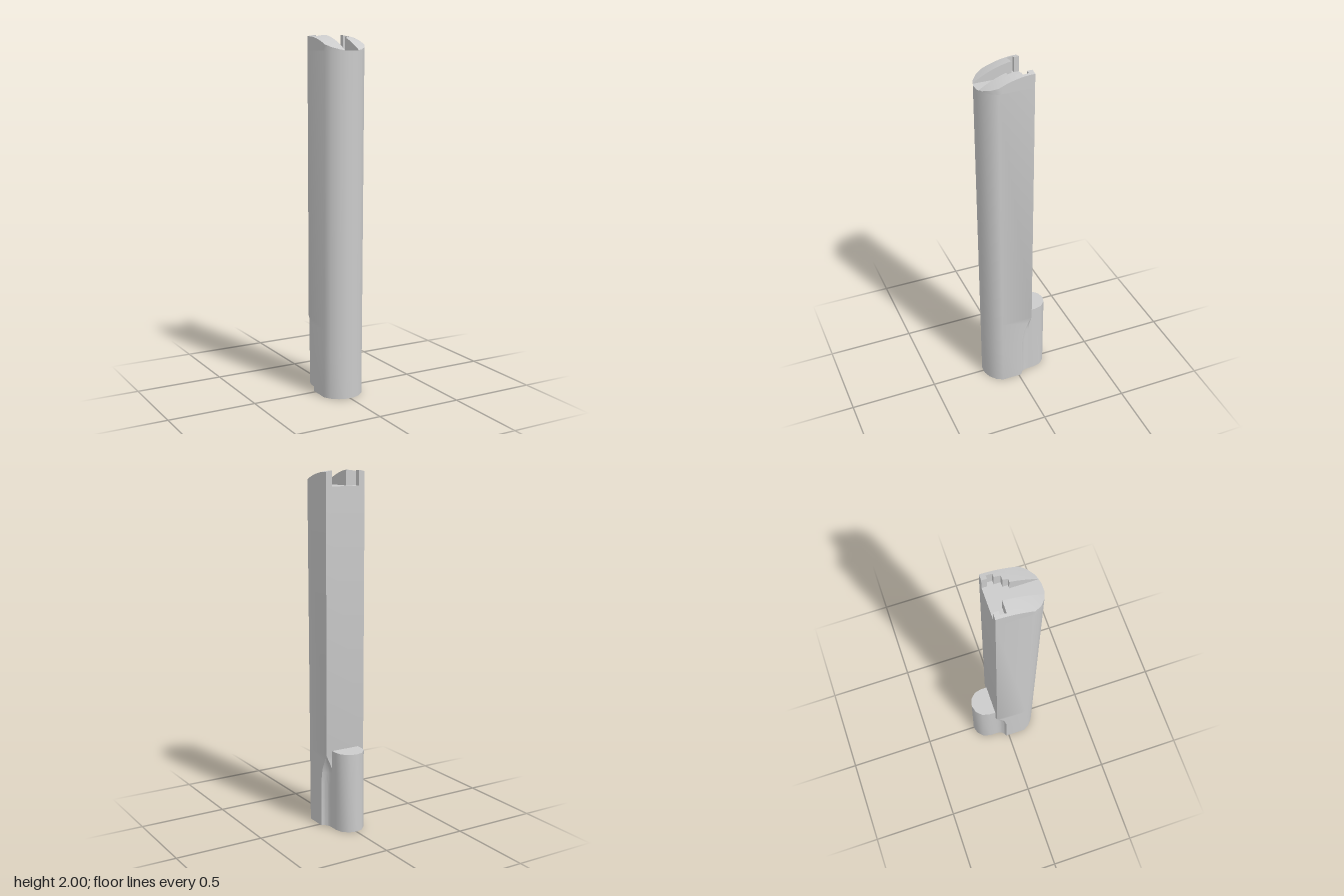
import * as THREE from 'three';
import { toCreasedNormals } from 'three/addons/utils/BufferGeometryUtils.js';

const FLOOR = 1.913; // floor of the slot cut into the top
const BACK = -0.078; // flat back face of the bar
const FRONT = [[0.121, 0.118], [0.1, 0.154], [0.064, 0.184], [0.023, 0.198]]; // rounded front, [x, z]

const material = new THREE.MeshStandardMaterial({ color: 0xcccccc });

// Skins a list of equal-length rings of Vector3 and closes both ends with fans.
function loft(name, rings) {
  const tris = [];
  const add = (a, b, c) => {
    const area = b.clone().sub(a).cross(c.clone().sub(a)).length();
    if (area > 1e-9) tris.push([a, b, c]);
  };
  const n = rings[0].length;
  for (let r = 0; r + 1 < rings.length; r++) {
    for (let i = 0; i < n; i++) {
      const j = (i + 1) % n, lo = rings[r], up = rings[r + 1];
      add(lo[i], up[i], lo[j]);
      add(lo[j], up[i], up[j]);
    }
  }
  const cap = (ring, last) => {
    const mid = new THREE.Vector3();
    ring.forEach((p) => mid.addScaledVector(p, 1 / n));
    ring.forEach((p, i) => {
      const q = ring[(i + 1) % n];
      if (last) add(mid, q, p); else add(mid, p, q);
    });
  };
  cap(rings[0], false);
  cap(rings[rings.length - 1], true);

  // turn the faces outward if the rings ran the other way
  const volume = tris.reduce((s, [a, b, c]) => s + a.dot(b.clone().cross(c)), 0);
  const points = tris.flatMap(([a, b, c]) => (volume < 0 ? [a, c, b] : [a, b, c]));
  const geometry = new THREE.BufferGeometry().setFromPoints(points);
  const mesh = new THREE.Mesh(toCreasedNormals(geometry, 0.62), material);
  mesh.name = name;
  return mesh;
}

// Height of the domed, forward-sloping top
const dome = (x, z) => Math.max(FLOOR, 2.003 - 1.17 * (z - BACK) ** 2 - 0.9 * x * x);

// Cross-section of the bar at height y; dx, dz are the size of the corner scoops.
function barRing([y, dx, dz]) {
  const taper = 0.015 * (1 - y / 2);
  const half = FRONT.map(([x, z]) => [x, z - taper]).reverse();
  const scoop = new THREE.QuadraticBezierCurve(
    new THREE.Vector2(0.121, BACK + dz),
    new THREE.Vector2(0.121 - dx, BACK + dz * 0.85),
    new THREE.Vector2(0.121 - dx, BACK));
  scoop.getPoints(8).forEach((p) => half.push([p.x, p.y]));
  const mirrored = half.map(([x, z]) => [-x, z]).reverse();
  return [...half, ...mirrored].map(([x, z]) => new THREE.Vector3(x, y, z));
}

// Half-width of the bar at depth z
function outerX(z) {
  for (let i = 0; i + 1 < FRONT.length; i++) {
    const [x0, z0] = FRONT[i], [x1, z1] = FRONT[i + 1];
    if (z <= z0) return x0;
    if (z <= z1) return x0 + ((x1 - x0) * (z - z0)) / (z1 - z0);
  }
  return FRONT[FRONT.length - 1][0];
}

// Wall beside the slot; steps lists [z, inner half-width] from back to front.
function slotWall(name, side, steps) {
  const rings = [];
  const station = (z, inner) => {
    const outer = outerX(z), mid = (inner + outer) / 2;
    const point = (x, y) => new THREE.Vector3(side * x, y, z);
    rings.push([
      point(inner, FLOOR), point(inner, dome(inner, z)), point(mid, dome(mid, z)),
      point(outer, dome(outer, z)), point(outer, FLOOR),
    ]);
  };
  steps.forEach(([z, inner], i) => {
    const from = i ? steps[i - 1][0] : z;
    const parts = Math.max(1, Math.ceil((z - from) / 0.02));
    for (let k = 1; k <= parts; k++) station(from + ((z - from) * k) / parts, inner);
  });
  return loft(name, rings);
}

export function createModel() {
  const model = new THREE.Group();
  model.name = 'slottedBar';

  // long bar with scooped lower back corners: [y, scoop width, scoop depth]
  const levels = [
    [0, 0.036, 0.06], [0.25, 0.036, 0.06], [0.28, 0.036, 0.056], [0.32, 0.036, 0.05],
    [0.35, 0.035, 0.042], [0.39, 0.019, 0.023], [0.43, 0, 0], [FLOOR, 0, 0],
  ];
  model.add(loft('bar', levels.map(barRing)));

  // walls of the keyed slot at the top
  const backSteps = [[BACK, 0.085], [-0.05, 0.085], [-0.05, 0.105], [-0.018, 0.105]];
  const frontSteps = [[0.118, 0.042], [0.154, 0.042], [0.184, 0.042], [0.191, 0.042]];
  model.add(slotWall('rightSlotWall', -1, [...backSteps, [-0.018, 0.042], ...frontSteps]));
  model.add(slotWall('leftSlotWall', 1, [
    ...backSteps, [-0.018, 0.085], [0.017, 0.085], [0.017, 0.06], [0.045, 0.06],
    [0.045, 0.042], ...frontSteps,
  ]));

  // half-round post behind the foot
  const postRing = (y) => {
    const ring = [new THREE.Vector3(0.085, y, -0.07)];
    for (let i = 0; i <= 6; i++) {
      const a = (i * Math.PI) / 6;
      ring.push(new THREE.Vector3(0.085 * Math.cos(a), y, -0.115 - 0.085 * Math.sin(a)));
    }
    ring.push(new THREE.Vector3(-0.085, y, -0.07));
    return ring;
  };
  model.add(loft('backPost', [postRing(0), postRing(0.455)]));

  return model;
}
